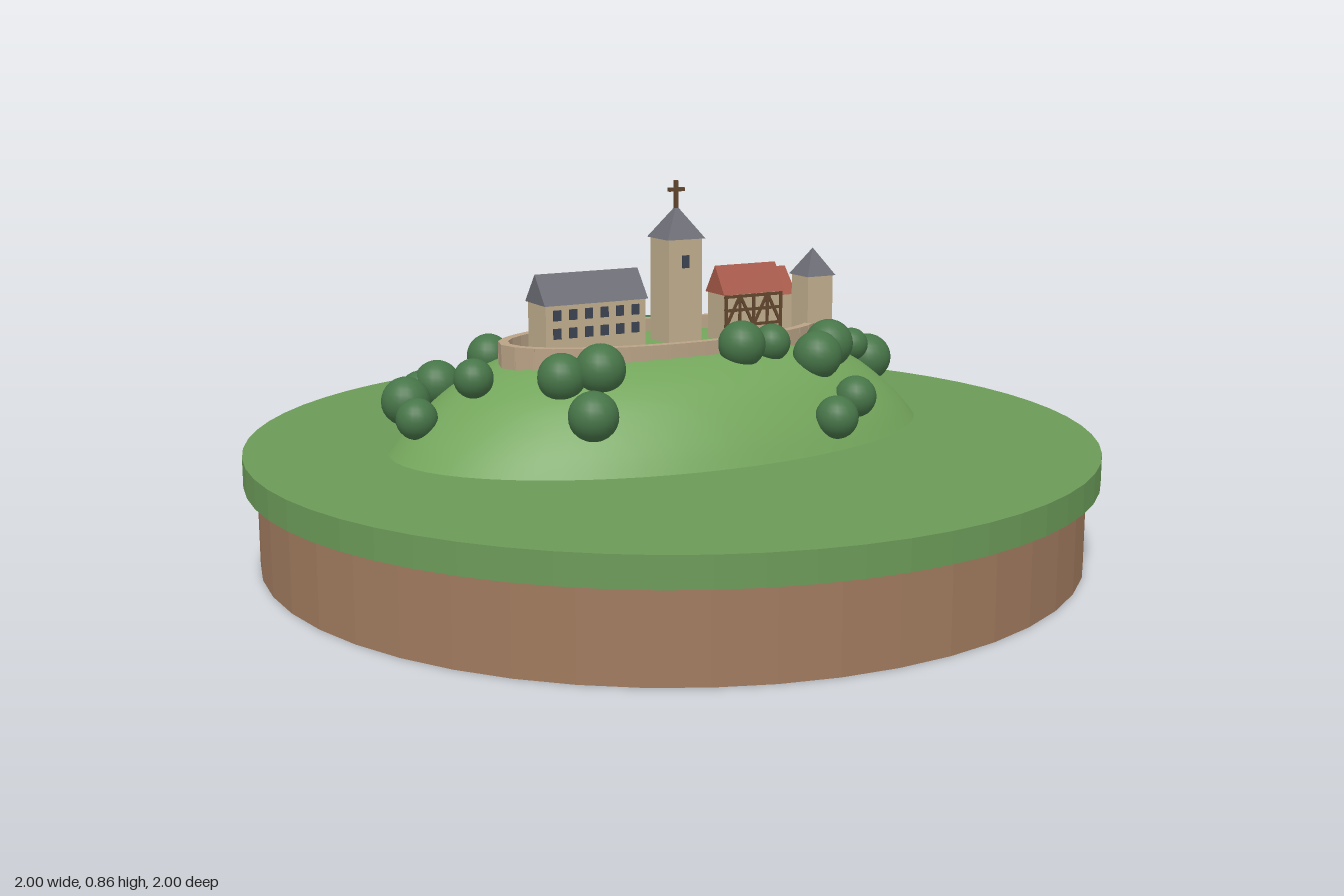
import * as THREE from 'three';

const mat = (name, color) => {
  const m = new THREE.MeshStandardMaterial({ color });
  m.name = name;
  return m;
};

export function createModel() {
  const model = new THREE.Group();
  const M = {
    soil: mat('soil', 0xa07a5e),
    grass: mat('grass', 0x6b9a58),
    hill: mat('hillGrass', 0x74a65c),
    leaf: mat('foliage', 0x477548),
    stone: mat('wallStone', 0xb9a286),
    plaster: mat('plaster', 0xc2b08f),
    slate: mat('slate', 0x6c6d76),
    tile: mat('redTile', 0xa85a4a),
    wood: mat('wood', 0x63472f),
    glass: mat('windowDark', 0x3c4352),
  };
  const TILT = -THREE.MathUtils.degToRad(20);
  const GROUND = 0.45; // foundations sink a little into the hill

  const add = (parent, name, geo, material, x = 0, y = 0, z = 0) => {
    const mesh = new THREE.Mesh(geo, material);
    mesh.name = name;
    mesh.position.set(x, y, z);
    parent.add(mesh);
    return mesh;
  };
  const box = (w, h, d) => new THREE.BoxGeometry(w, h, d);
  const faceted = (geo) => {
    const g = geo.toNonIndexed();
    g.computeVertexNormals();
    return g;
  };
  const site = (name, x, z) => {
    const g = new THREE.Group();
    g.name = name;
    g.position.set(x, 0, z);
    g.rotation.y = TILT;
    model.add(g);
    return g;
  };

  // Round base
  add(model, 'soilBase', faceted(new THREE.CylinderGeometry(0.97, 0.97, 0.2, 48)), M.soil, 0, 0.1, 0);
  add(model, 'grassDisc', faceted(new THREE.CylinderGeometry(1, 1, 0.067, 64)), M.grass, 0, 0.2335, 0);

  // Oval hill with a flat crown
  const castleGround = site('castleHill', 0.01, -0.035);
  const profile = new THREE.SplineCurve([
    [1, 0.262], [0.94, 0.31], [0.86, 0.36], [0.76, 0.41], [0.65, 0.447],
    [0.53, 0.47], [0.38, 0.48], [0, 0.481],
  ].map(([r, y]) => new THREE.Vector2(r, y))).getPoints(28);
  profile[profile.length - 1].x = 0;
  add(castleGround, 'hill', new THREE.LatheGeometry(profile, 64), M.hill).scale.set(0.685, 1, 0.42);

  // Ring wall made of short straight stretches
  const ring = new THREE.EllipseCurve(0, 0, 0.41, 0.178);
  const stretches = 44;
  const corners = ring.getSpacedPoints(stretches);
  for (let i = 0; i < stretches; i++) {
    const a = corners[i], b = corners[i + 1];
    const part = add(castleGround, 'ringWall', box(a.distanceTo(b) + 0.006, 0.07, 0.022), M.stone,
      (a.x + b.x) / 2, 0.475, (a.y + b.y) / 2);
    part.rotation.y = -Math.atan2(b.y - a.y, b.x - a.x);
  }

  // Building helpers: plain walls, gabled roof along x, pyramid roof
  const walls = (g, w, d, top) =>
    add(g, 'walls', box(w, top - GROUND, d), M.plaster, 0, (top + GROUND) / 2, 0);
  const gable = (g, length, width, eaves, ridge, material) => {
    const s = new THREE.Shape([
      new THREE.Vector2(-width / 2, 0), new THREE.Vector2(width / 2, 0),
      new THREE.Vector2(0, ridge - eaves),
    ]);
    const geo = new THREE.ExtrudeGeometry(s, { depth: length, bevelEnabled: false });
    geo.translate(0, 0, -length / 2).rotateY(Math.PI / 2);
    add(g, 'gableRoof', geo, material, 0, eaves, 0);
  };
  const pyramid = (g, side, eaves, apex) => {
    const geo = new THREE.ConeGeometry(side / Math.SQRT2, apex - eaves, 4).rotateY(Math.PI / 4);
    add(g, 'pyramidRoof', faceted(geo), M.slate, 0, (eaves + apex) / 2, 0);
  };

  // Long residence with rows of windows
  const residence = site('residence', -0.195, -0.091);
  walls(residence, 0.255, 0.095, 0.602);
  gable(residence, 0.264, 0.106, 0.6, 0.667, M.slate);
  for (const y of [0.535, 0.577]) {
    for (let i = 0; i < 6; i++) {
      add(residence, 'window', box(0.019, 0.024, 0.006), M.glass, (i - 2.5) * 0.04, y, 0.049);
    }
  }

  // Main tower with cross
  const keep = site('mainTower', 0.05, -0.03);
  walls(keep, 0.09, 0.09, 0.73);
  pyramid(keep, 0.102, 0.728, 0.805);
  add(keep, 'towerWindow', box(0.018, 0.03, 0.006), M.glass, 0, 0.675, 0.046);
  add(keep, 'crossPost', box(0.009, 0.075, 0.009), M.wood, 0, 0.826, 0);
  add(keep, 'crossArm', box(0.042, 0.009, 0.009), M.wood, 0, 0.842, 0);

  // Timber-framed hall
  const hall = site('timberHall', 0.193, 0.067);
  walls(hall, 0.162, 0.076, 0.597);
  gable(hall, 0.17, 0.088, 0.593, 0.66, M.tile);
  for (const y of [0.518, 0.555, 0.588]) {
    add(hall, 'timberRail', box(0.162, 0.007, 0.006), M.wood, 0, y, 0.039);
  }
  for (let i = 0; i < 5; i++) {
    add(hall, 'timberPost', box(0.007, 0.11, 0.006), M.wood, (i - 2) * 0.0385, 0.54, 0.039);
  }
  for (let i = 0; i < 4; i++) {
    const brace = add(hall, 'timberBrace', box(0.007, 0.078, 0.006), M.wood, (i - 1.5) * 0.0385, 0.553, 0.039);
    brace.rotation.z = i % 2 ? 0.48 : -0.48;
  }

  // Gatehouse and corner tower
  const gatehouse = site('gatehouse', 0.335, 0.026);
  walls(gatehouse, 0.094, 0.094, 0.574);
  gable(gatehouse, 0.102, 0.108, 0.57, 0.635, M.tile);
  const cornerTower = site('cornerTower', 0.358, 0.147);
  walls(cornerTower, 0.072, 0.072, 0.626);
  pyramid(cornerTower, 0.082, 0.624, 0.69);

  // Round bushes: x, y, z, radius
  const bush = new THREE.SphereGeometry(1, 20, 14);
  const west = [
    [-0.58, 0.36, -0.25, 0.047], [-0.49, 0.45, -0.16, 0.045], [-0.5, 0.37, -0.38, 0.057],
    [-0.42, 0.375, -0.42, 0.05], [-0.395, 0.395, -0.39, 0.055], [-0.325, 0.355, -0.455, 0.053],
    [-0.22, 0.345, -0.47, 0.053], [-0.27, 0.45, -0.345, 0.052], [-0.39, 0.46, 0.015, 0.054],
    [-0.32, 0.475, 0.067, 0.057], [-0.405, 0.39, 0.125, 0.056],
  ];
  const middle = [
    [0.02, 0.37, -0.44, 0.053], [0.02, 0.395, -0.41, 0.055], [0.085, 0.5, -0.237, 0.058],
    [0.195, 0.455, -0.25, 0.046], [0.02, 0.5, 0.195, 0.055], [0.107, 0.495, 0.215, 0.044],
    [0.2, 0.46, 0.28, 0.058], [0.28, 0.475, 0.255, 0.058], [0.12, 0.34, 0.395, 0.05],
    [0.23, 0.368, 0.37, 0.049],
  ];
  const east = [
    [0.515, 0.37, -0.13, 0.055], [0.46, 0.465, -0.03, 0.06], [0.575, 0.39, 0.027, 0.052],
    [0.575, 0.39, 0.167, 0.06], [0.47, 0.44, 0.19, 0.041],
  ];
  for (const [x, y, z, r] of [...west, ...middle, ...east]) {
    add(model, 'bush', bush, M.leaf, x, y, z).scale.setScalar(r);
  }
  return model;
}
